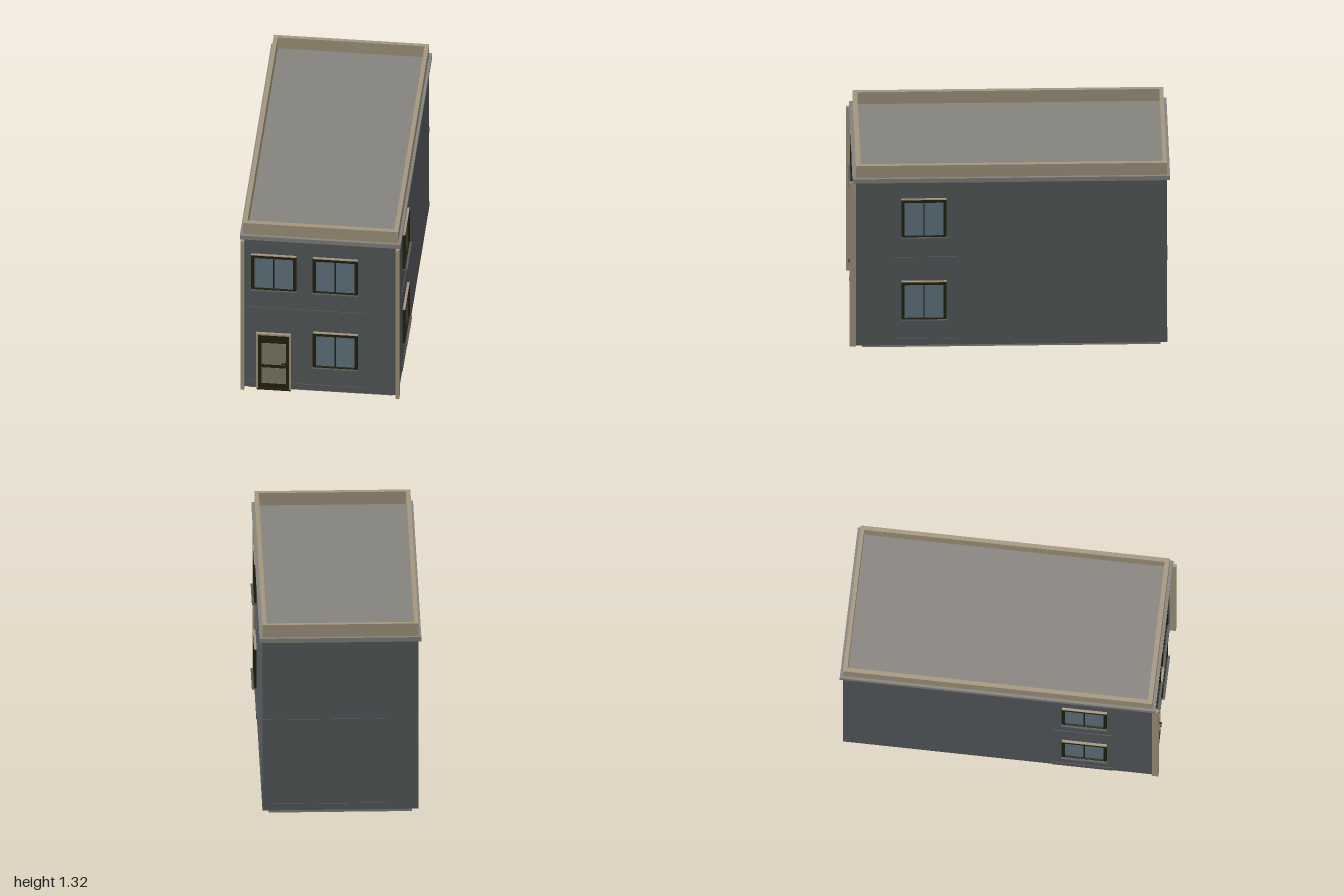
import * as THREE from 'three';

const mat = (name, color) => {
  const m = new THREE.MeshStandardMaterial({ color });
  m.name = name;
  return m;
};

export function createModel() {
  const wall = mat('slate wall', 0x565b5d);
  const stone = mat('grey stone', 0x86837d);
  const tan = mat('tan trim', 0xa4977f);
  const dark = mat('dark frame', 0x24220f);
  const glass = mat('blue glass', 0x637683);
  const doorGlass = mat('olive door glass', 0x7f7e65);

  const house = new THREE.Group();
  house.name = 'house';

  // Box given by its min and max corners
  const box = (parent, name, m, [x0, x1], [y0, y1], [z0, z1]) => {
    const mesh = new THREE.Mesh(new THREE.BoxGeometry(x1 - x0, y1 - y0, z1 - z0), m);
    mesh.position.set((x0 + x1) / 2, (y0 + y1) / 2, (z0 + z1) / 2);
    mesh.name = name;
    parent.add(mesh);
    return mesh;
  };

  const W = 0.487, FRONT = 0.96, BACK = -0.98;

  // Main masses
  box(house, 'plinth', stone, [-0.447, 0.447], [0, 0.035], [-0.94, 0.92]);
  box(house, 'body', wall, [-W, W], [0.035, 1.2], [BACK, FRONT]);
  box(house, 'cornice', stone, [-0.504, 0.504], [1.2, 1.23], [-1, 0.98]);

  // Parapet ring around the flat roof
  const ring = new THREE.Shape([
    new THREE.Vector2(-W, -FRONT), new THREE.Vector2(W, -FRONT),
    new THREE.Vector2(W, -BACK), new THREE.Vector2(-W, -BACK),
  ]);
  ring.holes.push(new THREE.Path([
    new THREE.Vector2(-0.46, -0.93), new THREE.Vector2(-0.46, 0.955),
    new THREE.Vector2(0.46, 0.955), new THREE.Vector2(0.46, -0.93),
  ]));
  const parapet = new THREE.Mesh(
    new THREE.ExtrudeGeometry(ring, { depth: 0.085, bevelEnabled: false }), tan);
  parapet.rotation.x = -Math.PI / 2;
  parapet.position.y = 1.23;
  parapet.name = 'parapet';
  house.add(parapet);

  // Front corner posts
  for (const s of [-1, 1]) {
    const post = box(house, 'cornerPost', tan, [-0.011, 0.011], [0.035, 1.2], [0.96, 1]);
    post.position.x = s * 0.486;
  }

  // Shallow bands at ground and first floor level
  for (const [y0, y1] of [[0.037, 0.08], [0.62, 0.663]]) {
    box(house, 'frontBand', wall, [-W, 0.29], [y0, y1], [FRONT, FRONT + 0.004]);
    box(house, 'backBand', wall, [-0.29, W], [y0, y1], [BACK - 0.005, BACK]);
    for (const s of [-1, 1]) {
      const band = box(house, 'sideBand', wall, [-0.002, 0.002], [y0, y1], [0.33, 0.715]);
      band.position.x = s * (W + 0.002);
    }
  }

  // Two-pane window: origin at bottom centre of the sill, facing +z
  const makeWindow = () => {
    const g = new THREE.Group();
    g.name = 'window';
    const h = 0.141, top = 0.274;
    box(g, 'sill', wall, [-h - 0.004, h + 0.004], [0, 0.01], [0, 0.03]);
    box(g, 'glass', glass, [-h + 0.01, h - 0.01], [0.01, top - 0.01], [0, 0.005]);
    for (const s of [-1, 1]) {
      const jamb = box(g, 'jamb', dark, [-0.01, 0.01], [0.01, top], [0, 0.016]);
      jamb.position.x = s * (h - 0.01);
    }
    box(g, 'head', dark, [-h + 0.02, h - 0.02], [top - 0.019, top], [0, 0.016]);
    box(g, 'bottomRail', dark, [-h + 0.02, h - 0.02], [0.01, 0.017], [0, 0.016]);
    box(g, 'mullion', dark, [-0.004, 0.004], [0.017, top - 0.019], [0, 0.01]);
    box(g, 'cap', tan, [-h, h], [top, top + 0.005], [0, 0.016]);
    return g;
  };
  const addWindow = (x, y, z, turn) => {
    const w = makeWindow();
    w.position.set(x, y, z);
    w.rotation.y = turn;
    house.add(w);
  };
  addWindow(-0.292, 0.802, FRONT, 0);
  addWindow(0.094, 0.802, FRONT, 0);
  addWindow(0.094, 0.217, FRONT, 0);
  for (const s of [-1, 1]) {
    for (const y of [0.802, 0.215]) addWindow(s * W, y, 0.535, s * Math.PI / 2);
  }

  // Front door
  const door = new THREE.Group();
  door.name = 'door';
  house.add(door);
  box(door, 'leaf', dark, [-0.39, -0.196], [0.04, 0.455], [FRONT, FRONT + 0.01]);
  box(door, 'upperPane', doorGlass, [-0.37, -0.216], [0.224, 0.39], [FRONT + 0.01, FRONT + 0.012]);
  box(door, 'lowerPane', doorGlass, [-0.37, -0.216], [0.077, 0.198], [FRONT + 0.01, FRONT + 0.012]);
  box(door, 'leftJamb', tan, [-0.402, -0.39], [0.035, 0.467], [FRONT, FRONT + 0.018]);
  box(door, 'rightJamb', tan, [-0.196, -0.184], [0.035, 0.467], [FRONT, FRONT + 0.018]);
  box(door, 'lintel', tan, [-0.39, -0.196], [0.455, 0.467], [FRONT, FRONT + 0.018]);
  box(door, 'threshold', dark, [-0.397, -0.187], [0.03, 0.04], [FRONT, FRONT + 0.02]);
  box(door, 'handle', dark, [-0.244, -0.212], [0.24, 0.246], [0.982, 0.99]);
  box(door, 'handleStem', dark, [-0.22, -0.212], [0.238, 0.248], [0.968, 0.984]);

  return house;
}
